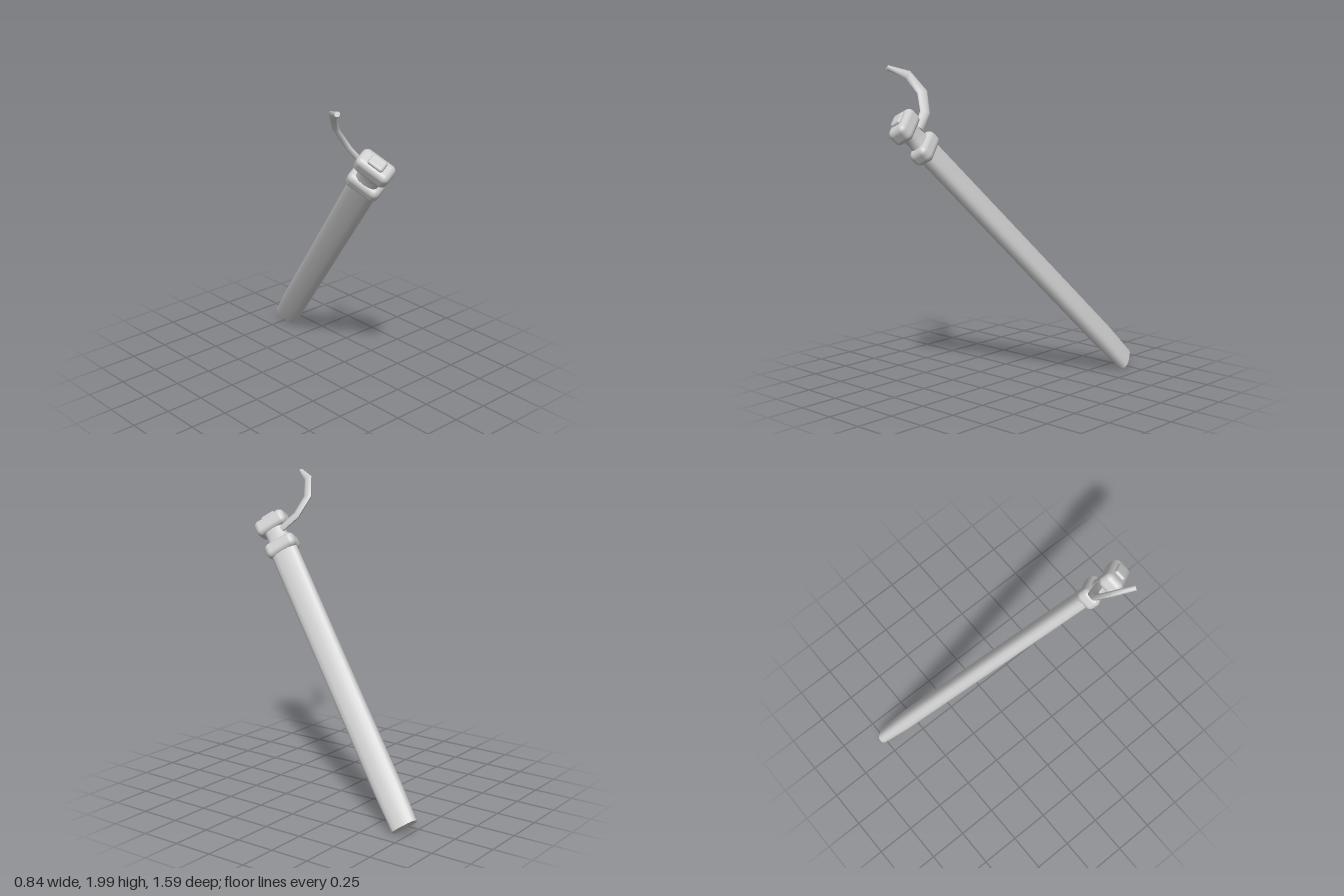
import * as THREE from 'three';
import { toCreasedNormals } from 'three/addons/utils/BufferGeometryUtils.js';
import { RoundedBoxGeometry } from 'three/addons/geometries/RoundedBoxGeometry.js';

const grey = new THREE.MeshStandardMaterial({ color: 0xcccccc });

function part(name, geometry, parent) {
  const mesh = new THREE.Mesh(geometry, grey);
  mesh.name = name;
  parent.add(mesh);
  return mesh;
}

// Skin a list of equal-sized rings and close both ends
function loft(rings, crease = 0.8) {
  const n = rings[0].length, pos = [], idx = [];
  rings.forEach(r => r.forEach(p => pos.push(p.x, p.y, p.z)));
  for (let i = 0; i < rings.length - 1; i++) {
    for (let j = 0; j < n; j++) {
      const a = i * n + j, b = i * n + (j + 1) % n;
      idx.push(a, a + n, b, b, a + n, b + n);
    }
  }
  const last = (rings.length - 1) * n;
  for (let j = 1; j < n - 1; j++) {
    idx.push(0, j, j + 1, last, last + j + 1, last + j);
  }
  const g = new THREE.BufferGeometry();
  g.setAttribute('position', new THREE.Float32BufferAttribute(pos, 3));
  g.setIndex(idx);
  return toCreasedNormals(g, crease);
}

// Rounded cross-section; thickness along x, width along z
function section(y, thick, width, n = 16) {
  const soft = v => Math.sign(v) * Math.abs(v) ** 0.72;
  return Array.from({ length: n }, (_, j) => {
    const a = (j / n) * Math.PI * 2;
    return new THREE.Vector3(soft(Math.cos(a)) * thick / 2, y, soft(Math.sin(a)) * width / 2);
  });
}

export function createModel() {
  const model = new THREE.Group();

  // Tilted frame: local y runs up the shaft, z across its broad side
  const bottom = new THREE.Vector3(0.37, 0.06, -0.73);
  const collar = new THREE.Vector3(-0.14, 1.515, 0.577);
  const along = collar.clone().sub(bottom);
  const length = along.length();
  along.normalize();
  const wide = new THREE.Vector3(-0.41, 0.525, -0.747);
  wide.addScaledVector(along, -wide.dot(along)).normalize();
  const thin = new THREE.Vector3().crossVectors(along, wide);
  const shaft = new THREE.Group();
  shaft.name = 'shaft';
  shaft.quaternion.setFromRotationMatrix(new THREE.Matrix4().makeBasis(thin, along, wide));
  shaft.position.copy(bottom);
  model.add(shaft);

  // Long flat body, slightly pinched at the foot
  part('body', loft([
    section(0, 0.08, 0.165), section(0.25, 0.103, 0.178),
    section(1.1, 0.1, 0.18), section(length, 0.092, 0.185),
  ]), shaft);

  // Collar, waisted neck and head
  part('collar', new RoundedBoxGeometry(0.13, 0.105, 0.215, 3, 0.038), shaft).position.y = length;
  part('neck', loft([
    section(length, 0.1, 0.17), section(length + 0.07, 0.088, 0.14),
    section(length + 0.11, 0.088, 0.14), section(length + 0.18, 0.1, 0.17),
  ]), shaft);
  part('head', new RoundedBoxGeometry(0.13, 0.11, 0.22, 3, 0.036), shaft).position.y = length + 0.182;
  part('headCap', new RoundedBoxGeometry(0.075, 0.06, 0.1, 2, 0.015), shaft).position.y = length + 0.225;

  // Flat curved hook, narrowing to its tip
  const path = [
    [-0.165, 1.63, 0.60], [-0.205, 1.72, 0.508], [-0.27, 1.836, 0.468],
    [-0.34, 1.94, 0.518], [-0.405, 1.982, 0.625],
  ].map(p => new THREE.Vector3(...p));
  const widths = [0.058, 0.062, 0.07, 0.062, 0.03];
  const flat = new THREE.Vector3(0.8, 0.515, 0.306).normalize();
  const rings = path.map((p, i) => {
    const dir = path[Math.min(i + 1, 4)].clone().sub(path[Math.max(i - 1, 0)]).normalize();
    const side = new THREE.Vector3().crossVectors(flat, dir).normalize();
    return Array.from({ length: 8 }, (_, j) => {
      const a = (j / 8) * Math.PI * 2;
      return p.clone().addScaledVector(side, -Math.cos(a) * widths[i] / 2)
        .addScaledVector(flat, Math.sin(a) * 0.017);
    });
  });
  part('hook', loft(rings, 1.0), model);

  return model;
}
